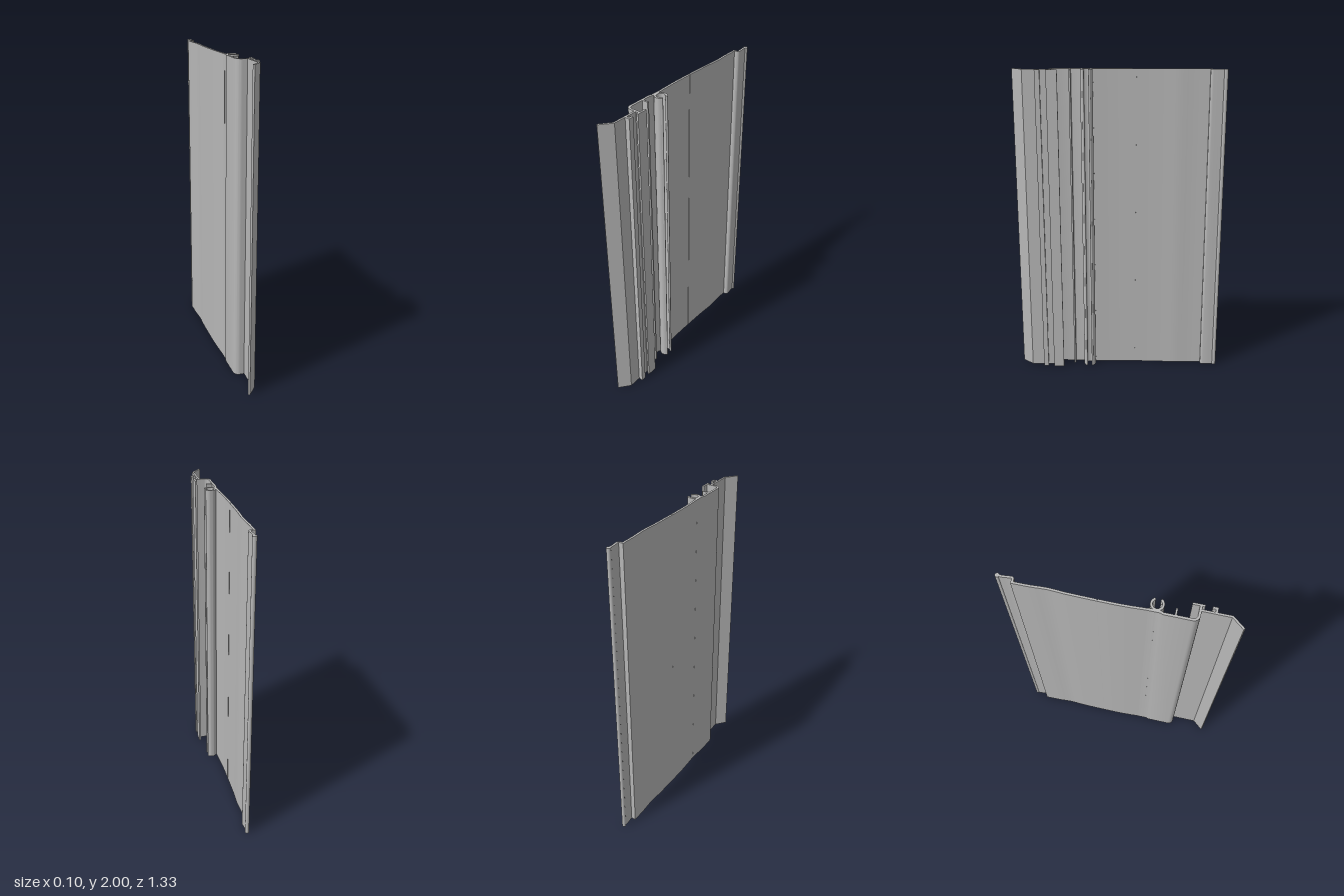
import * as THREE from 'three';
import { toCreasedNormals } from 'three/addons/utils/BufferGeometryUtils.js';

const HEIGHT = 2;

export function createModel() {
  const group = new THREE.Group();
  const metal = new THREE.MeshStandardMaterial({ color: 0xb8b8b8 });
  metal.name = 'plain grey metal';

  const add = (name, geometry) => {
    const mesh = new THREE.Mesh(geometry, metal);
    mesh.name = name;
    group.add(mesh);
  };

  // Wall of even thickness along a plan path of [x, z] points, extruded upwards
  const wall = (name, path, thickness = 0.013) => {
    const p = path.map(([x, z]) => new THREE.Vector2(x, -z));
    const left = [], right = [];
    p.forEach((pt, i) => {
      const a = pt.clone().sub(p[Math.max(i - 1, 0)]).normalize();
      const b = p[Math.min(i + 1, p.length - 1)].clone().sub(pt).normalize();
      const d = a.clone().add(b).normalize();
      const ref = i === 0 ? b : a;
      const miter = thickness / 2 / Math.max(0.4, d.dot(ref));
      const n = new THREE.Vector2(-d.y, d.x).multiplyScalar(miter);
      left.push(pt.clone().add(n));
      right.unshift(pt.clone().sub(n));
    });
    const geometry = new THREE.ExtrudeGeometry(new THREE.Shape([...left, ...right]), {
      depth: HEIGHT, bevelEnabled: false, steps: 1,
    });
    geometry.rotateX(-Math.PI / 2);
    add(name, toCreasedNormals(geometry, 0.5));
  };

  // Round bead running the full height
  const bead = (name, x, z, radius) => {
    const geometry = new THREE.CylinderGeometry(radius, radius, HEIGHT, 16);
    add(name, geometry.translate(x, HEIGHT / 2, z));
  };

  // Points of an arc in plan, angles in degrees from +x towards +z
  const arc = (cx, cz, r, from, to, n) => Array.from({ length: n + 1 }, (_, i) => {
    const a = THREE.MathUtils.degToRad(from + (to - from) * i / n);
    return [cx + r * Math.cos(a), cz + r * Math.sin(a)];
  });

  // Smooth path through a few points
  const smooth = (points, n) => new THREE.SplineCurve(
    points.map(([x, z]) => new THREE.Vector2(x, z))).getPoints(n).map((v) => [v.x, v.y]);

  // Hooked edge and rear half of the panel
  bead('rearBead', -0.02, -0.654, 0.013);
  wall('rearHook', [[-0.022, -0.65], [-0.021, -0.62],
    ...arc(-0.026, -0.577, 0.010, 0, 90, 4), [-0.0515, -0.567]]);
  wall('rearPanel', smooth([[-0.045, -0.568], [-0.044, -0.47], [-0.039, -0.375],
    [-0.044, -0.27], [-0.046, -0.112]], 16));

  // Shallow groove line, then the front half of the panel with its rounded corner
  wall('grooveFloor', [[-0.0485, -0.115], [-0.0485, -0.105]], 0.008);
  wall('frontPanel', smooth([[-0.046, -0.108], [-0.046, 0], [-0.043, 0.09],
    [-0.039, 0.165], [-0.04, 0.2]], 14));
  wall('lowerPanel', [[-0.039, 0.16], [-0.039, 0.225], [-0.045, 0.24],
    ...arc(-0.017, 0.395, 0.028, 180, 90, 8), [0.045, 0.423]], 0.014);

  // Open C-shaped screw channel
  const channel = arc(0.001, 0.2, 0.032, 40, 320, 28);
  wall('screwChannel', channel);
  for (const [x, z] of [channel[0], channel[28]]) bead('channelLip', x, z, 0.0075);

  // Short rib
  wall('rib', [[-0.045, 0.304], [0, 0.304]], 0.011);

  // T flange, web, small hook and slanted lip
  wall('flange', [[0.045, 0.376], [0.045, 0.444]], 0.012);
  wall('webAndLip', [[0.016, 0.423], [0.016, 0.592], [-0.04, 0.661]], 0.012);
  wall('smallHook', [[0.016, 0.507], [0.044, 0.507], [0.044, 0.482]], 0.013);

  return group;
}
